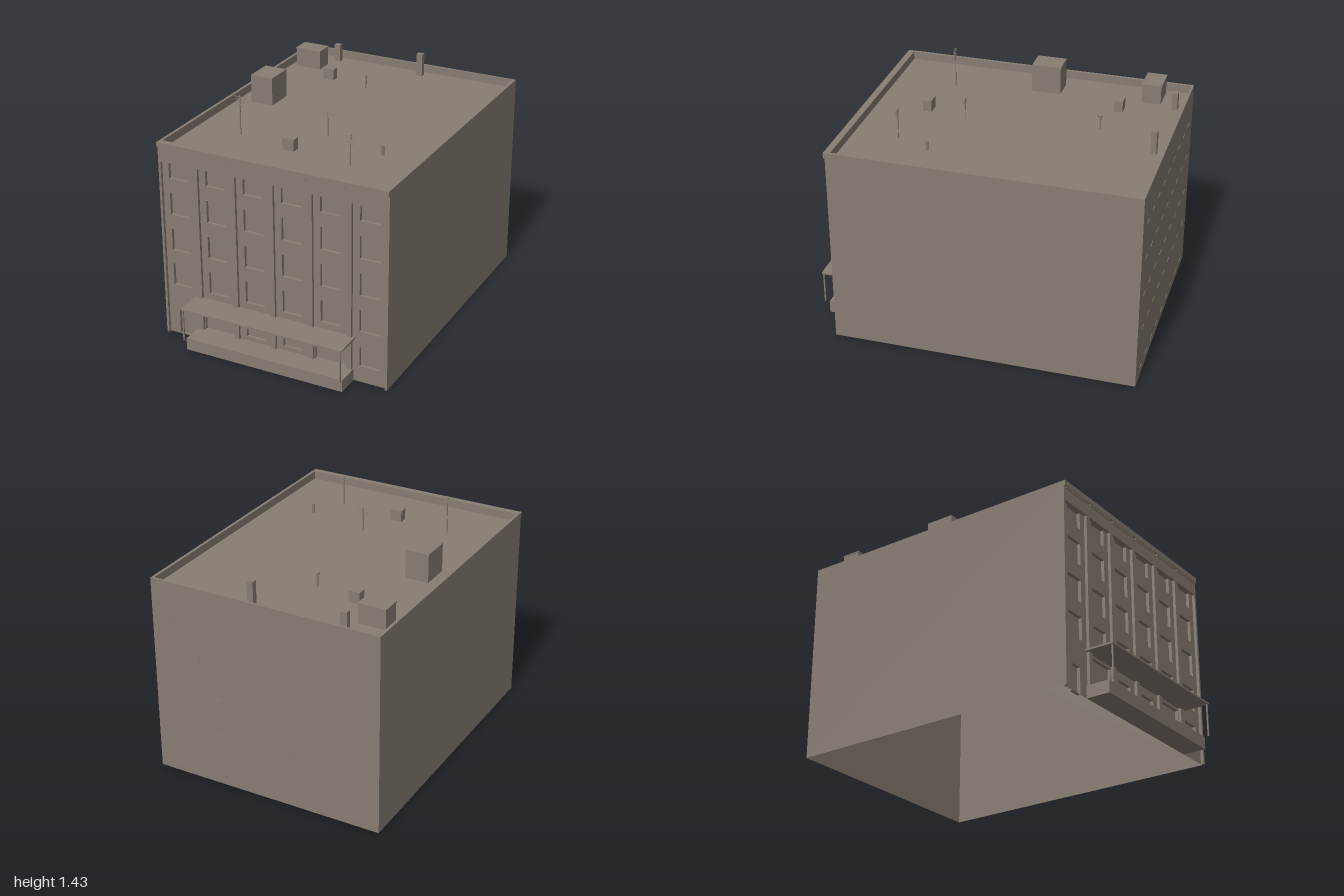
import * as THREE from 'three';

const stone = new THREE.MeshStandardMaterial({ color: 0x877d72, side: THREE.DoubleSide });
stone.name = 'weathered stone';

export function createModel() {
  const root = new THREE.Group();
  root.name = 'apartmentBlock';

  const add = (name, geo, parent = root) => {
    const m = new THREE.Mesh(geo, stone);
    m.name = name;
    parent.add(m);
    return m;
  };
  const group = (name) => {
    const g = new THREE.Group();
    g.name = name;
    root.add(g);
    return g;
  };
  // Box from its limits; `open` lists faces to leave out (0 +x, 1 -x, 2 +y, 3 -y, 4 +z, 5 -z)
  const block = (name, x0, x1, y0, y1, z0, z1, parent = root, open = []) => {
    const geo = new THREE.BoxGeometry(x1 - x0, y1 - y0, z1 - z0);
    geo.translate((x0 + x1) / 2, (y0 + y1) / 2, (z0 + z1) / 2);
    if (open.length) {
      const idx = Array.from(geo.index.array);
      geo.setIndex(idx.filter((_, i) => !open.includes(Math.floor(i / 6))));
      geo.clearGroups();
    }
    return add(name, geo, parent);
  };
  const rectPath = (P, x0, x1, y0, y1) =>
    new P([[x0, y0], [x1, y0], [x1, y1], [x0, y1]].map(([x, y]) => new THREE.Vector2(x, y)));

  const W = 0.73, H = 1.24, BACK = -1, FRONT = 0.84, WALL = 0.822, DECK = 1.19;

  // Side and back walls, open underneath
  block('outerWalls', -W, W, 0, H, BACK, FRONT, root, [2, 3, 4]);

  // Sunken roof deck with the parapet's inner faces
  block('roofDeck', -0.712, 0.712, DECK, H, -0.985, 0.81, root, [2]);
  const rim = rectPath(THREE.Shape, -W, W, -FRONT, -BACK);
  rim.holes.push(rectPath(THREE.Path, -0.712, 0.712, -0.81, 0.985));
  add('parapetTop', new THREE.ShapeGeometry(rim).rotateX(-Math.PI / 2).translate(0, H, 0));

  // Openings of the front wall: [x0, x1, y0, y1]
  const openings = [];
  const columns = [-0.61, -0.366, -0.122, 0.122, 0.366, 0.61];
  const rows = [[0.325, 0.465], [0.555, 0.695], [0.785, 0.925], [1.015, 1.12]];
  for (const x of columns) {
    for (const [y0, y1] of rows) openings.push(['window', x - 0.063, x + 0.063, y0, y1]);
  }
  for (const i of [2, 3, 5]) {
    openings.push(['window', columns[i] - 0.063, columns[i] + 0.063, 0.1, 0.225]);
  }
  for (const x of [-0.367, 0.367]) openings.push(['entrance', x - 0.1, x + 0.1, 0.075, 0.26]);
  openings.push(['sideDoor', -0.645, -0.573, 0.002, 0.16]);

  // Front wall, with a shallow recess behind each opening
  const wall = rectPath(THREE.Shape, -W, W, 0, H);
  const recesses = group('windowsAndDoors');
  for (const [name, x0, x1, y0, y1] of openings) {
    wall.holes.push(rectPath(THREE.Path, x0, x1, y0, y1));
    block(name, x0, x1, y0, y1, WALL - 0.02, WALL, recesses, [4]);
  }
  add('frontWall', new THREE.ShapeGeometry(wall).translate(0, 0, WALL));

  // Pilasters between the bays, upper band, ledges and cornice
  const facade = group('facadeRelief');
  for (const x of [-0.488, -0.244, 0, 0.244, 0.488]) {
    block('pilaster', x - 0.016, x + 0.016, 0, 1.12, WALL, FRONT, facade, [5]);
  }
  for (const s of [-1, 1]) {
    block('cornerPilaster', Math.min(s * W, s * 0.715), Math.max(s * W, s * 0.715), 0, 1.12, WALL, FRONT, facade, [5]);
  }
  block('upperBand', -W, W, 1.12, 1.238, WALL, FRONT, facade, [5]);
  for (const x of columns) {
    block('ledge', x - 0.105, x + 0.105, 1.196, 1.208, FRONT, FRONT + 0.006, facade);
  }
  block('cornice', -W, W, 1.207, H, FRONT, 0.85, facade);

  // Entrance platform and canopy on two posts
  block('entrancePlatform', -0.512, 0.512, 0, 0.075, WALL, 0.966);
  block('canopy', -0.522, 0.522, 0.275, 0.286, WALL, 1);
  for (const x of [-0.511, 0.511]) {
    block('canopyPost', x - 0.004, x + 0.004, 0.075, 0.275, 0.988, 0.996);
  }

  // Small sills along the back wall
  const sills = group('backSills');
  for (const y of [0.06, 0.33, 0.56, 0.8, 1.03]) {
    for (let i = -4; i <= 4; i++) {
      block('backSill', i * 0.15 - 0.027, i * 0.15 + 0.027, y - 0.003, y + 0.003, BACK - 0.003, BACK, sills);
    }
  }

  // Roof boxes: [name, x0, x1, z0, z1, top]
  const roof = group('roofItems');
  const items = [
    ['stairHead', -0.62, -0.475, -0.22, -0.04, 1.365],
    ['liftHousing', -0.675, -0.507, -0.838, -0.722, 1.305],
    ['vent', -0.41, -0.34, -0.64, -0.588, 1.26],
    ['vent', -0.1, -0.027, 0.46, 0.514, 1.26],
    ['chimney', 0.089, 0.129, -0.94, -0.906, 1.335],
    ['chimney', -0.5, -0.459, -0.948, -0.914, 1.3],
  ];
  for (const [name, x0, x1, z0, z1, top] of items) block(name, x0, x1, DECK, top, z0, z1, roof);
  block('liftHousingCap', -0.678, -0.504, 1.305, 1.313, -0.841, -0.719, roof);

  // Round pipes
  const pipe = (name, x, z, r, y0, y1) =>
    add(name, new THREE.CylinderGeometry(r, r, y1 - y0, 8).translate(x, (y0 + y1) / 2, z), roof);
  pipe('ventPipe', -0.097, -0.56, 0.005, DECK, 1.27);
  pipe('ventPipeCap', -0.097, -0.56, 0.011, 1.265, 1.278);
  pipe('shortPipe', 0.443, 0.328, 0.01, DECK, 1.25);

  // Aerials: a mast with crossbars that shorten downwards
  for (const [x, z, top] of [[-0.42, 0.435, 1.435], [0.04, 0.225, 1.345], [0.345, 0.538, 1.375]]) {
    block('aerialMast', x - 0.003, x + 0.003, DECK, top, z - 0.003, z + 0.003, roof);
    [[0.01, 0.042], [0.024, 0.033], [0.042, 0.026], [0.06, 0.02]].forEach(([d, half]) =>
      block('aerialBar', x - half, x + half, top - d - 0.0015, top - d + 0.0015, z - 0.0015, z + 0.0015, roof));
  }
  return root;
}
